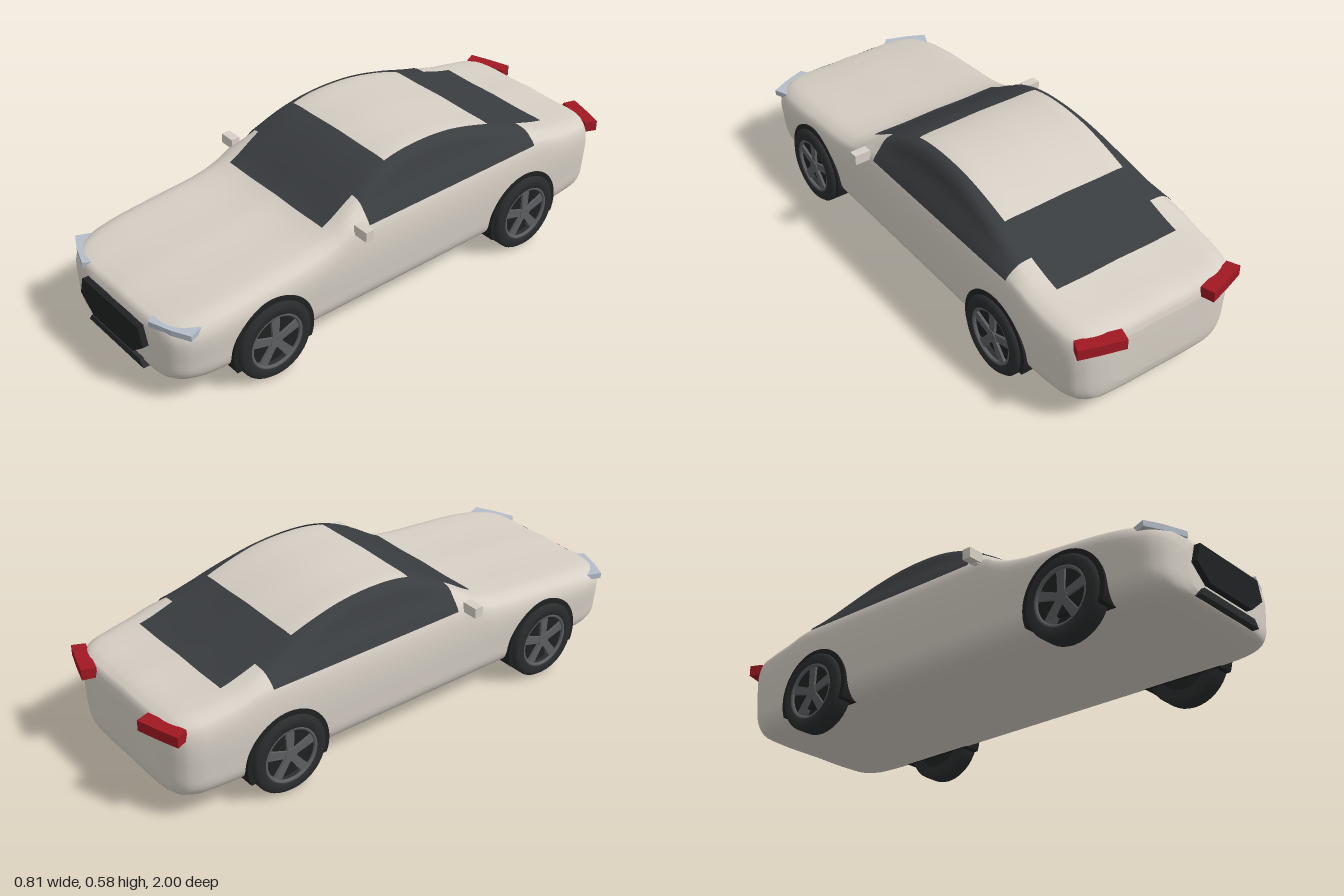
import * as THREE from 'three';

const mat = (color, side = THREE.FrontSide) => new THREE.MeshStandardMaterial({ color, side });
const paint = mat(0xd6cfc5);
const glass = mat(0x3a3d40, THREE.DoubleSide);
const black = mat(0x1f2122);
const rubber = mat(0x2a2c2d);
const alloy = mat(0x5c5e61);
const lamp = mat(0xb4bdc8);
const red = mat(0xa01822);

// Body stations along z: [z, half width, bottom y, top y]
const STATIONS = [
  [-0.957, 0.2, 0.15, 0.33], [-0.95, 0.255, 0.115, 0.36], [-0.93, 0.305, 0.093, 0.38], [-0.89, 0.338, 0.083, 0.394],
  [-0.82, 0.353, 0.08, 0.404], [-0.7, 0.36, 0.08, 0.424], [-0.55, 0.36, 0.08, 0.474], [-0.4, 0.36, 0.08, 0.53],
  [-0.25, 0.36, 0.08, 0.57], [-0.12, 0.36, 0.08, 0.581], [0, 0.36, 0.08, 0.571], [0.1, 0.36, 0.08, 0.54],
  [0.2, 0.36, 0.08, 0.485], [0.3, 0.36, 0.08, 0.42], [0.38, 0.36, 0.08, 0.391], [0.6, 0.36, 0.08, 0.367],
  [0.78, 0.358, 0.08, 0.349], [0.88, 0.343, 0.082, 0.333], [0.94, 0.308, 0.09, 0.319], [0.965, 0.262, 0.102, 0.306],
  [0.978, 0.2, 0.125, 0.28],
];
const stationAt = new THREE.CubicInterpolant(
  STATIONS.map((s) => s[0]), STATIONS.flatMap((s) => s.slice(1)), 3, new Float32Array(3));

const LAST = 11, SHOULDER = 6, ROOF_EDGE = 9;

// Half cross-section at z, running from the floor centre line to the top centre line
function section(z) {
  const [w, yb, yt] = stationAt.evaluate(z);
  const y0 = Math.min(0.33, yb + 0.75 * (yt - yb));
  const s = Math.min(1, (y0 - yb) / 0.21);
  const ys = Math.max(y0 + 0.01, Math.min(0.41, yt - 0.03));
  const h = yt - ys;
  const k = THREE.MathUtils.clamp(h / 0.17, 0, 1);
  const mix = (a, b) => w * (a + (b - a) * k);
  return new THREE.CatmullRomCurve3([
    [0, yb], [0.55 * w, yb], [0.85 * w, yb + 0.012 * s], [0.955 * w, yb + 0.05 * s], [0.985 * w, yb + 0.12 * s],
    [w, y0], [0.965 * w, ys], [mix(0.93, 0.835), ys + 0.5 * h], [mix(0.85, 0.765), ys + 0.85 * h],
    [0.69 * w, ys + 0.95 * h], [0.36 * w, yt - 0.003], [0, yt],
  ].map(([x, y]) => new THREE.Vector3(x, y, z)));
}

// Point on the upper surface at a given x
function topPoint(curve, x) {
  let lo = SHOULDER / LAST, hi = 1;
  for (let i = 0; i < 24; i++) {
    const mid = (lo + hi) / 2;
    if (curve.getPoint(mid).x > Math.abs(x)) lo = mid; else hi = mid;
  }
  const p = curve.getPoint(lo);
  return new THREE.Vector3(x, p.y, p.z);
}

// Skin through rows of points; optionally closed around and capped at both ends
function skin(rows, closed = false) {
  const n = rows[0].length, pts = rows.flat(), index = [];
  for (let i = 0; i < rows.length - 1; i++) {
    for (let j = 0; j < (closed ? n : n - 1); j++) {
      const a = i * n + j, b = i * n + (j + 1) % n;
      index.push(a, b, a + n, b, b + n, a + n);
    }
  }
  if (closed) {
    [0, rows.length - 1].forEach((r) => {
      const c = rows[r].reduce((sum, p) => sum.add(p), new THREE.Vector3()).divideScalar(n);
      pts.push(c);
      for (let j = 0; j < n; j++) {
        const a = r * n + j, b = r * n + (j + 1) % n;
        index.push(pts.length - 1, ...(r ? [a, b] : [b, a]));
      }
    });
  }
  const geo = new THREE.BufferGeometry().setFromPoints(pts);
  geo.setIndex(index);
  geo.computeVertexNormals();
  return geo;
}

// Glass lies slightly outside the body
function lift(geo, d) {
  const p = geo.attributes.position, n = geo.attributes.normal;
  for (let i = 0; i < p.count; i++) {
    p.setXYZ(i, p.getX(i) + n.getX(i) * d, p.getY(i) + n.getY(i) * d, p.getZ(i) + n.getZ(i) * d);
  }
  return geo;
}

const steps = (a, b, n) => Array.from({ length: n + 1 }, (_, i) => a + (b - a) * i / n);

function add(parent, name, geo, material, x = 0, y = 0, z = 0) {
  const mesh = new THREE.Mesh(geo, material);
  mesh.name = name;
  mesh.position.set(x, y, z);
  parent.add(mesh);
  return mesh;
}

function plate(points, depth) {
  const shape = new THREE.Shape(points.map(([x, y]) => new THREE.Vector2(x, y)));
  return new THREE.ExtrudeGeometry(shape, { depth, bevelEnabled: false });
}

// Plan outline in x and z, extruded upwards from y to y + height
function slab(points, y, height) {
  return plate(points.map(([x, z]) => [x, -z]), height).rotateX(-Math.PI / 2).translate(0, y, 0);
}

function bodyGeometry() {
  const zs = STATIONS.slice(0, -1).flatMap((s, i) => steps(s[0], STATIONS[i + 1][0], 4).slice(0, 4));
  zs.push(STATIONS.at(-1)[0]);
  return skin(zs.map((z) => {
    const half = section(z).getPoints(44);
    const other = half.slice(1, -1).reverse().map((p) => new THREE.Vector3(-p.x, p.y, p.z));
    return [...half, ...other];
  }), true);
}

const screen = (z0, z1, w) => lift(skin(steps(z0, z1, 14).map((z) => {
  const curve = section(z);
  return steps(w, -w, 20).map((x) => topPoint(curve, x));
})), 0.005);

const sideGlass = () => lift(skin(steps(-0.595, 0.19, 32).map((z) => {
  const curve = section(z);
  return steps(SHOULDER / LAST, ROOF_EDGE / LAST, 12).map((t) => curve.getPoint(t));
})), 0.005);

// Wheel on the left side, its axle along x and its outer face towards +x
function wheel() {
  const g = new THREE.Group();
  g.name = 'wheel';
  const profile = [[0.1, -0.04], [0.138, -0.04], [0.147, -0.03], [0.147, 0.027], [0.135, 0.04], [0.106, 0.04], [0.1, 0.025], [0.1, -0.04]];
  const tyre = new THREE.LatheGeometry(profile.map(([r, h]) => new THREE.Vector2(r, h)), 40).rotateZ(-Math.PI / 2);
  add(g, 'tyre', tyre, rubber);
  add(g, 'wheelDisc', new THREE.CylinderGeometry(0.101, 0.101, 0.045, 32).rotateZ(Math.PI / 2), black, -0.015);
  add(g, 'rim', new THREE.TorusGeometry(0.101, 0.007, 8, 40).rotateY(Math.PI / 2), alloy, 0.032);
  add(g, 'hub', new THREE.CylinderGeometry(0.024, 0.024, 0.04, 16).rotateZ(Math.PI / 2), alloy, 0.016);
  for (let i = 0; i < 5; i++) {
    const spoke = plate([[-0.012, 0], [0.012, 0], [0.017, 0.1], [-0.017, 0.1]], 0.025).rotateY(Math.PI / 2);
    add(g, 'spoke', spoke, alloy, 0.008).rotation.x = i * Math.PI * 0.4;
  }
  return g;
}

// Arch disc, cut off level with the floor
function archGeometry() {
  const r = 0.165, cut = Math.asin(0.06 / r);
  const shape = new THREE.Shape().absarc(0, 0, r, -cut, Math.PI + cut, false);
  return new THREE.ExtrudeGeometry(shape, { depth: 0.085, bevelEnabled: false, curveSegments: 32 }).rotateY(Math.PI / 2);
}

// Everything that is mirrored from left to right
function sideParts(sign) {
  const g = new THREE.Group();
  g.name = sign > 0 ? 'leftSide' : 'rightSide';
  g.scale.x = sign;
  add(g, 'sideWindow', sideGlass(), glass);
  for (const z of [0.605, -0.55]) {
    add(g, 'wheelArch', archGeometry(), black, 0.278, 0.147, z);
    const w = wheel();
    w.position.set(0.339, 0.147, z);
    g.add(w);
  }
  add(g, 'mirrorHousing', new THREE.BoxGeometry(0.062, 0.038, 0.034), paint, 0.376, 0.419, 0.235);
  add(g, 'mirrorStalk', new THREE.BoxGeometry(0.045, 0.012, 0.02), paint, 0.342, 0.402, 0.235);
  add(g, 'headlight', slab([[0.33, 0.865], [0.35, 0.915], [0.285, 0.948], [0.2, 0.978], [0.175, 0.935]], 0.294, 0.021), lamp);
  add(g, 'taillight', slab([[0.32, -0.905], [0.34, -0.95], [0.265, -0.975], [0.18, -1], [0.165, -0.95]], 0.335, 0.04), red);
  return g;
}

export function createModel() {
  const car = new THREE.Group();
  car.name = 'car';
  add(car, 'body', bodyGeometry(), paint);
  add(car, 'windscreen', screen(0.04, 0.32, 0.262), glass);
  add(car, 'rearWindow', screen(-0.73, -0.45, 0.25), glass);
  // Front openings
  add(car, 'grille', plate([[-0.12, 0.155], [0.12, 0.155], [0.19, 0.21], [0.168, 0.28], [-0.168, 0.28], [-0.19, 0.21]], 0.05), black, 0, 0, 0.95);
  add(car, 'lowerIntake', plate([[-0.167, 0.106], [0.167, 0.106], [0.147, 0.134], [-0.147, 0.134]], 0.05), rubber, 0, 0, 0.942);
  car.add(sideParts(1), sideParts(-1));
  return car;
}
